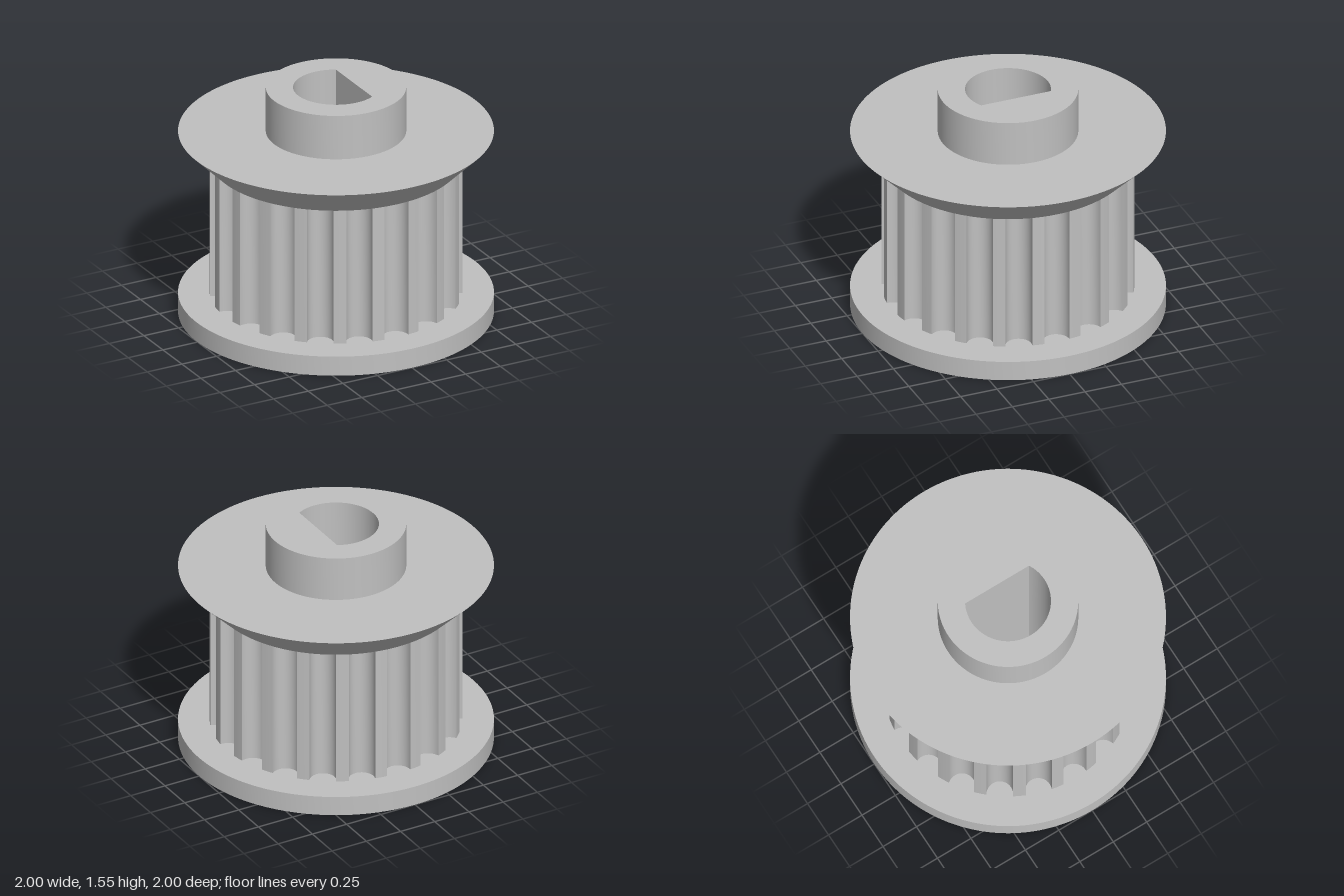
import * as THREE from 'three';
import { toCreasedNormals } from 'three/addons/utils/BufferGeometryUtils.js';

const BORE_R = 0.272, BORE_FLAT = 0.13;
const TEETH = 20, TOOTH_R = 0.8, GROOVE_R = 0.085, GROOVE_CENTRE = 0.788;

// D-shaped shaft hole, flat on the +x side
function borePath() {
  const a = Math.acos(BORE_FLAT / BORE_R);
  const path = new THREE.Path();
  path.absarc(0, 0, BORE_R, a, Math.PI * 2 - a, false);
  path.closePath();
  return path;
}

function discShape(radius) {
  const shape = new THREE.Shape();
  shape.absarc(0, 0, radius, 0, Math.PI * 2, false);
  return shape;
}

// Round-bottomed grooves cut into a circle, separated by narrow lands
function toothedShape() {
  const points = [];
  const pitch = (Math.PI * 2) / TEETH;
  const half = Math.asin(GROOVE_R / TOOTH_R);
  for (let i = 0; i < TEETH; i++) {
    const angle = i * pitch, c = Math.cos(angle), s = Math.sin(angle);
    const add = (u, v) => points.push(new THREE.Vector2(u * c - v * s, u * s + v * c));
    add(TOOTH_R * Math.cos(half), -GROOVE_R);
    for (let k = 0; k <= 14; k++) {
      const t = (k / 14) * Math.PI;
      add(GROOVE_CENTRE - GROOVE_R * 1.04 * Math.sin(t), -GROOVE_R * Math.cos(t));
    }
    add(TOOTH_R * Math.cos(half), GROOVE_R);
    for (let k = 1; k < 4; k++) {
      const a = half + (pitch - 2 * half) * (k / 4);
      add(TOOTH_R * Math.cos(a), TOOTH_R * Math.sin(a));
    }
  }
  return new THREE.Shape(points);
}

// Upright extrusion with the shaft hole through it
function slab(shape, y0, y1) {
  shape.holes.push(borePath());
  const geo = new THREE.ExtrudeGeometry(shape, { depth: y1 - y0, bevelEnabled: false, curveSegments: 96 });
  geo.rotateX(-Math.PI / 2);
  geo.translate(0, y0, 0);
  return geo;
}

export function createModel() {
  const group = new THREE.Group();
  const metal = new THREE.MeshStandardMaterial({ color: 0xc0c0c0 });
  metal.name = 'grey metal';

  const addPart = (name, geo) => {
    const mesh = new THREE.Mesh(toCreasedNormals(geo, 0.5), metal);
    mesh.name = name;
    group.add(mesh);
  };

  addPart('lowerFlange', slab(discShape(1), 0, 0.132));
  addPart('toothedDrum', slab(toothedShape(), 0.132, 1.055));

  // Upper flange: draw in the lower rim to make the cone
  const flange = slab(discShape(1), 1.055, 1.252);
  const pos = flange.attributes.position;
  for (let i = 0; i < pos.count; i++) {
    const x = pos.getX(i), z = pos.getZ(i);
    if (pos.getY(i) < 1.1 && Math.hypot(x, z) > 0.9) {
      pos.setX(i, x * TOOTH_R);
      pos.setZ(i, z * TOOTH_R);
    }
  }
  addPart('upperFlange', flange);
  addPart('hub', slab(discShape(0.445), 1.252, 1.553));
  return group;
}
